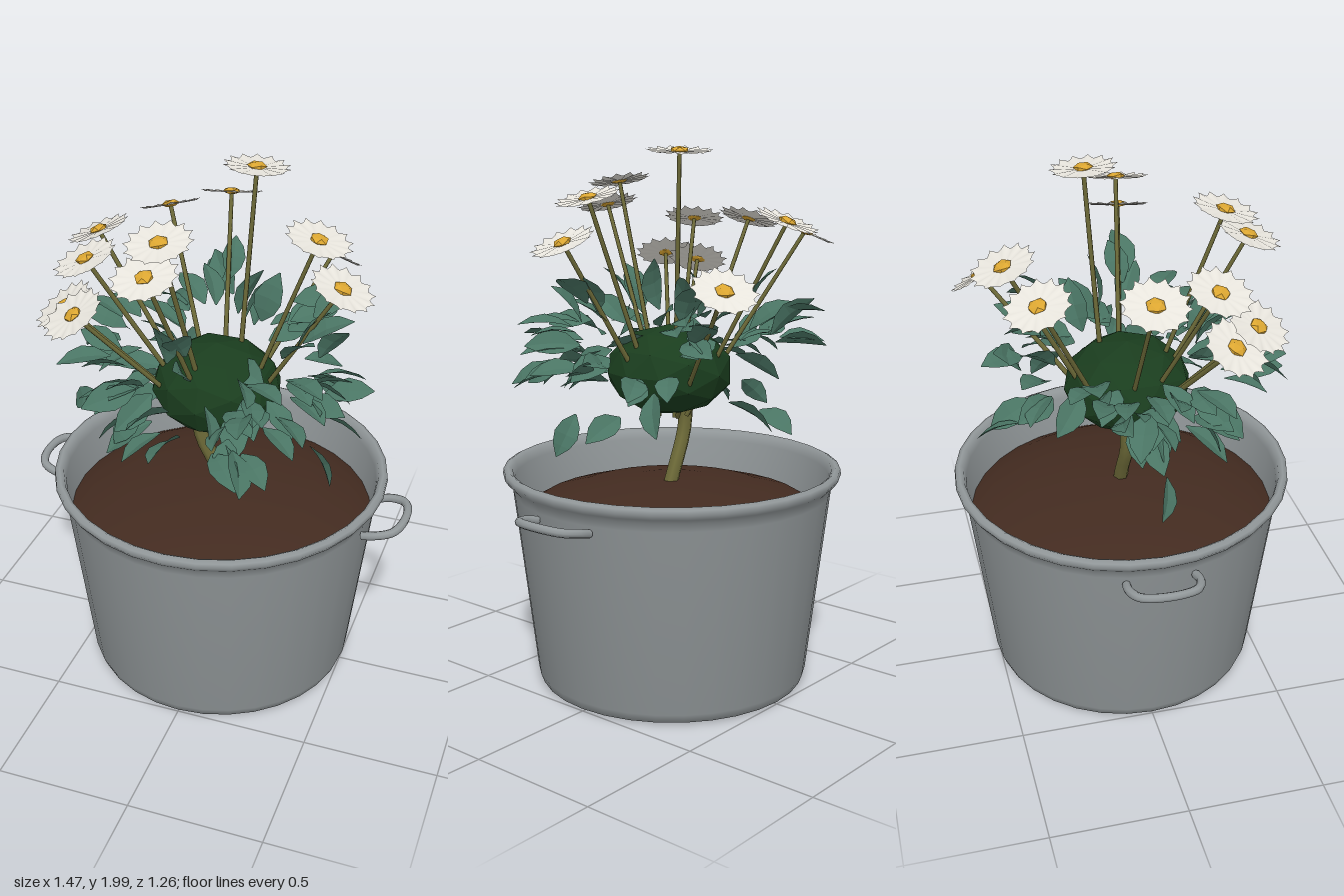
import * as THREE from 'three';
import { toCreasedNormals } from 'three/addons/utils/BufferGeometryUtils.js';

const V = (x, y, z) => new THREE.Vector3(x, y, z);
const UP = V(0, 1, 0);

function material(name, color, extra = {}) {
  const m = new THREE.MeshStandardMaterial({ color, ...extra });
  m.name = name;
  return m;
}

// Small seeded generator returning -1..1
function seeded(seed) {
  return () => {
    seed = (seed * 16807) % 2147483647;
    return (seed / 2147483647) * 2 - 1;
  };
}

function geometryFrom(positions, index) {
  const g = new THREE.BufferGeometry();
  g.setAttribute('position', new THREE.Float32BufferAttribute(positions, 3));
  g.setIndex(index);
  g.computeVertexNormals();
  return g;
}

// Leaf along +z with a V fold on its midrib, centred on its middle
function leafGeometry() {
  const pos = [], idx = [], halfWidths = [0.004, 0.038, 0.049, 0.036, 0.002];
  halfWidths.forEach((w, i) => {
    const t = i / 4, z = (t - 0.5) * 0.185, arch = 0.015 * Math.sin(Math.PI * t);
    pos.push(-w, arch + w * 0.25, z, 0, arch, z, w, arch + w * 0.25, z);
    if (i < 4) {
      for (let k = 0; k < 2; k++) {
        const a = i * 3 + k;
        idx.push(a, a + 3, a + 1, a + 1, a + 3, a + 4);
      }
    }
  });
  return geometryFrom(pos, idx);
}

// Shallow daisy disc with pointed petal tips
function petalGeometry(petals = 14) {
  const radii = [0.1, 0.105, 0.12, 0.105], heights = [0.002, 0.005, 0.009, 0.005];
  const pos = [0, 0, 0], idx = [], n = petals * 4;
  for (let i = 0; i < n; i++) {
    const a = (i / n) * Math.PI * 2, r = radii[i % 4];
    pos.push(Math.cos(a) * r, heights[i % 4], Math.sin(a) * r);
    idx.push(0, 1 + ((i + 1) % n), 1 + i);
  }
  return geometryFrom(pos, idx);
}

export function createModel() {
  const model = new THREE.Group();
  const metal = material('grey metal', 0x92989a, { side: THREE.DoubleSide });
  const earth = material('brown soil', 0x432b20);
  const wood = material('olive stem', 0x6d6a38);
  const bushGreen = material('dark green', 0x1a3d1e, { flatShading: true });
  const leafGreen = material('leaf green', 0x4a7564, { side: THREE.DoubleSide, flatShading: true });
  const white = material('petal white', 0xe9e6de, { side: THREE.DoubleSide });
  const yellow = material('centre yellow', 0xdba631, { flatShading: true });

  const add = (name, geometry, mat, parent = model) => {
    const mesh = new THREE.Mesh(geometry, mat);
    mesh.name = name;
    parent.add(mesh);
    return mesh;
  };
  const tube = (points, r, seg, sides) =>
    new THREE.TubeGeometry(new THREE.CatmullRomCurve3(points), seg, r, sides);
  const lathe = (points) =>
    new THREE.LatheGeometry(points.map(([x, y]) => new THREE.Vector2(x, y)), 32);

  // Pot: tapered wall, flared rolled rim, inner wall
  add('pot', toCreasedNormals(lathe([
    [0, 0.005], [0.48, 0.005], [0.5, 0.013], [0.512, 0.045], [0.594, 0.74], [0.602, 0.772],
    [0.618, 0.788], [0.63, 0.806], [0.628, 0.824], [0.612, 0.832],
    [0.596, 0.822], [0.588, 0.79], [0.572, 0.62],
  ]), 1.1), metal);

  // Gently mounded soil
  add('soil', lathe([[0.576, 0.645], [0.5, 0.69], [0.36, 0.732], [0.18, 0.76], [0, 0.768]]), earth);

  // Side handles
  for (const s of [1, -1]) {
    add(s > 0 ? 'leftHandle' : 'rightHandle', tube([
      V(s * 0.585, 0.715, 0.125), V(s * 0.635, 0.728, 0.128), V(s * 0.69, 0.738, 0.105),
      V(s * 0.715, 0.744, 0.05), V(s * 0.715, 0.744, -0.05), V(s * 0.69, 0.738, -0.105),
      V(s * 0.635, 0.728, -0.128), V(s * 0.585, 0.715, -0.125),
    ], 0.016, 24, 8), metal);
  }

  // Crooked trunk
  add('trunk', tube([V(0.02, 0.73, 0), V(-0.02, 0.82, 0), V(-0.078, 0.95, 0.005),
    V(-0.085, 1.1, 0)], 0.028, 8, 6), wood);

  // Faceted bush core
  const bush = add('bush', new THREE.IcosahedronGeometry(1, 1), bushGreen);
  bush.scale.set(0.24, 0.168, 0.235);
  bush.position.set(-0.01, 1.185, 0.02);

  // Flowers: head centres; each stem rises from beneath the bush
  const heads = [
    [-0.325, 1.69, -0.355], [-0.11, 1.74, -0.43], [0.28, 1.535, -0.46], [0.09, 1.98, -0.11],
    [0.365, 1.825, 0.07], [0.46, 1.675, 0.1], [-0.46, 1.715, 0], [-0.41, 1.71, 0.23],
    [-0.48, 1.54, 0.27], [-0.4, 1.565, 0.37], [-0.095, 1.86, 0.34], [-0.115, 1.77, 0.42],
  ];
  const petals = petalGeometry();
  const centre = new THREE.IcosahedronGeometry(0.035, 0);
  heads.forEach(([x, y, z], i) => {
    const flower = new THREE.Group();
    flower.name = 'flower';
    model.add(flower);
    const base = V(x, 0, z).setLength(0.06).setY(1.02);
    const top = V(x, y, z);
    const length = base.distanceTo(top);
    const stem = add('flowerStem', new THREE.CylinderGeometry(0.008, 0.01, length, 6), wood, flower);
    stem.position.copy(base).lerp(top, 0.5);
    stem.quaternion.setFromUnitVectors(UP, top.clone().sub(base).normalize());

    const head = new THREE.Group();
    head.name = 'flowerHead';
    head.position.copy(top);
    head.quaternion.setFromUnitVectors(UP, V(x * 0.58, y - 1.08, z * 0.58).normalize());
    head.rotateY(i * 1.3);
    flower.add(head);
    add('petals', petals, white, head);
    const heart = add('flowerCentre', centre, yellow, head);
    heart.scale.y = 0.4;
    heart.position.y = 0.006;
  });

  // Leaf sprays: x, y, z of the spray and its number of leaves
  const sprays = [
    [-0.46, 1.3, -0.14, 5], [-0.28, 1.26, -0.18, 5], [-0.33, 1.12, 0.03, 4], [-0.28, 1.2, 0.12, 4],
    [-0.54, 1.02, 0.02, 1], [-0.45, 1.28, 0.02, 3], [0.05, 1.07, -0.4, 1], [-0.02, 1.05, -0.46, 1],
    [0.23, 1.32, -0.24, 4], [0.31, 1.38, -0.27, 4], [0.37, 1.13, -0.2, 4], [0.44, 1.04, -0.06, 1],
    [0.13, 1.28, 0.08, 1], [0.12, 1.2, 0.33, 4], [0.2, 1.3, 0.4, 6],
    [0.23, 1.17, 0.49, 5], [0.41, 1.34, 0.27, 4], [0.3, 1.12, 0.26, 3], [0.38, 1.46, 0.08, 4],
    [-0.02, 1.22, 0.46, 2], [-0.22, 1.3, 0.43, 5], [-0.2, 1.1, 0.28, 4], [-0.38, 1.25, 0.24, 4],
    [-0.11, 1.45, 0.34, 3], [0.09, 1.49, -0.1, 4], [-0.11, 1.46, -0.39, 4], [-0.29, 1.32, -0.32, 3],
    [0.43, 1.25, 0.06, 4], [0.42, 0.99, 0.14, 1],
  ];
  const leaves = new THREE.Group();
  leaves.name = 'leaves';
  model.add(leaves);
  const leafShape = leafGeometry();
  const rnd = seeded(4711);
  for (const [x, y, z, count] of sprays) {
    for (let i = 0; i < count; i++) {
      const spread = count > 1 ? 0.075 : 0;
      const leaf = add('leaf', leafShape, leafGreen, leaves);
      leaf.position.set(x + rnd() * spread, y + rnd() * spread, z + rnd() * spread);
      // Point outward from the bush, drooping when low, with a random roll
      const dir = leaf.position.clone().sub(V(0, y < 1.4 ? 1.3 : 1.18, 0)).normalize();
      dir.add(V(rnd(), rnd(), rnd()).multiplyScalar(0.35)).normalize();
      const side = V(0, 1, 0).add(V(rnd(), 0, rnd()).multiplyScalar(0.9)).cross(dir).normalize();
      const normal = dir.clone().cross(side);
      leaf.quaternion.setFromRotationMatrix(new THREE.Matrix4().makeBasis(side, normal, dir));
      leaf.scale.setScalar(0.97 + rnd() * 0.12);
    }
  }
  return model;
}
